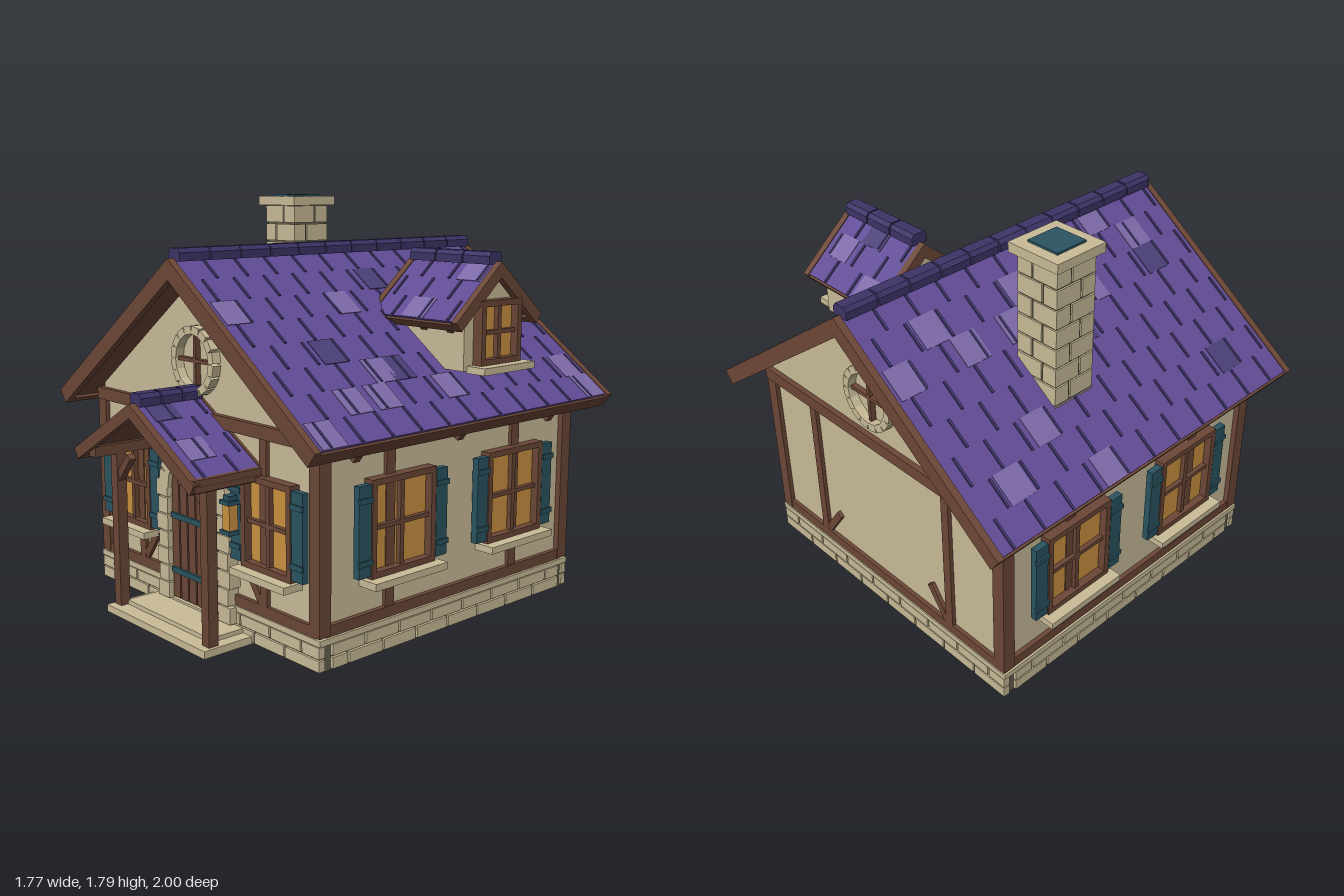
import * as THREE from 'three';
import { mergeGeometries } from 'three/addons/utils/BufferGeometryUtils.js';

const paint = (name, color) => {
  const m = new THREE.MeshStandardMaterial({ color });
  m.name = name;
  return m;
};
const M = {
  cream: paint('cream stone and plaster', 0xc9bc98),
  mortar: paint('mortar', 0x665e4d),
  wood: paint('timber', 0x6c4737),
  darkWood: paint('dark timber', 0x4a3027),
  amber: paint('amber glass', 0xcb9140),
  teal: paint('teal', 0x2a5461),
  slate: paint('purple slate', 0x614b95),
  light: paint('light slate', 0x7d6aa8),
  dark: paint('dark slate', 0x4b3f77),
  ridge: paint('ridge slate', 0x3d3468),
};

function add(parent, name, geometry, mat) {
  const mesh = new THREE.Mesh(geometry, mat);
  mesh.name = name;
  parent.add(mesh);
  return mesh;
}
function group(parent, name, x = 0, y = 0, z = 0, ry = 0) {
  const g = new THREE.Group();
  g.name = name;
  g.position.set(x, y, z);
  g.rotation.y = ry;
  parent.add(g);
  return g;
}
// One mesh from many boxes, each [width, height, depth, x, y, z, turn about z]
function boxes(parent, name, mat, list) {
  if (!list.length) return null;
  return add(parent, name, mergeGeometries(list.map(([w, h, d, x, y, z, rz = 0]) =>
    new THREE.BoxGeometry(w, h, d).rotateZ(rz).translate(x, y, z))), mat);
}
// Outline in x,y pushed from z0 to z1
function prism(points, z0, z1) {
  const shape = new THREE.Shape(points.map(p => new THREE.Vector2(...p)));
  return new THREE.ExtrudeGeometry(shape, { depth: z1 - z0, bevelEnabled: false }).translate(0, 0, z0);
}
const gable = (half, bottom, eave, apex) =>
  [[-half, bottom], [half, bottom], [half, eave], [0, apex], [-half, eave]];

// Pitched roof with its ridge along z; patches are [side, row, z, material]
function roof(parent, name, o) {
  const g = group(parent, name, o.x ?? 0, o.apex, o.z, o.turn ?? 0);
  const L = Math.hypot(o.half, o.rise), angle = Math.atan2(o.rise, o.half);
  const len = o.length, row = (L - 0.01) / o.rows, tile = 0.157, t = o.thick;
  for (const s of [1, -1]) {
    const side = group(g, 'roofSlope');
    side.rotation.set(0, s > 0 ? 0 : Math.PI, -angle);
    boxes(side, 'roofDeck', M.wood, [
      [L - 0.02, t - 0.035, len - 0.02, L / 2, -0.022 - (t - 0.035) / 2, 0],
      [0.035, t - 0.014, len - 0.01, L - 0.0175, -0.014 - (t - 0.014) / 2, 0]]);
    boxes(side, 'bargeBoards', M.wood, [1, -1].map(e => [L, t, 0.032, L / 2, -t / 2, e * (len / 2 - 0.016)]));
    boxes(side, 'slates', M.slate, [[L - 0.01, 0.02, len - 0.06, (L - 0.01) / 2, -0.014, 0]]);
    const joints = [];
    for (let r = 0; r < o.rows; r++) {
      const start = -len / 2 + 0.06 + (r % 2 ? tile / 2 : 0);
      for (let z = start; z < len / 2 - 0.04; z += tile) {
        joints.push([row * 0.94, 0.01, 0.011, (r + 0.5) * row, -0.003, z]);
      }
    }
    boxes(side, 'slateJoints', M.ridge, joints);
    for (const shade of [M.light, M.dark]) {
      boxes(side, 'oddSlates', shade, o.patches.filter(p => p[0] === s && p[3] === shade)
        .map(([, r, z]) => [row, 0.006, 0.125, (r + 0.5) * row, -0.004, s * z]));
    }
    boxes(side, 'rafterTails', M.wood, o.tails.map(z => [0.035, 0.085, 0.035, L - 0.05, -t - 0.035, s * z]));
  }
  const n = o.caps, pitch = (len - 0.06) / n;
  const outline = [[-0.04, -0.012], [0.04, -0.012], [0.04, 0.022], [0.026, 0.04], [-0.026, 0.04], [-0.04, 0.022]];
  for (let i = 0; i < n; i++) {
    const z = -len / 2 + 0.03 + i * pitch;
    add(g, 'ridgeCap', prism(outline, z + 0.004, z + pitch - 0.004), M.ridge);
  }
  return g;
}

// Window facing +z with its centre at the origin on the wall
function windowUnit(parent, name, w, h, sill, shutters) {
  const g = parent, b = 0.026;
  boxes(g, name + 'Pane', M.amber, [[w - b, h - b, 0.016, 0, 0, 0.004]]);
  boxes(g, name + 'Frame', M.wood, [
    ...[1, -1].map(s => [b, h, 0.05, s * (w - b) / 2, 0, 0.022]),
    ...[1, -1].map(s => [w, b, 0.05, 0, s * (h - b) / 2, 0.022]),
    [0.022, h - b, 0.03, 0, 0, 0.018], [w - b, 0.018, 0.03, 0, 0, 0.018]]);
  boxes(g, name + 'Sill', M.cream, [[sill, 0.03, 0.1, 0, -h / 2 - 0.014, 0.045]]);
  if (!shutters) return;
  for (const s of [1, -1]) {
    const x = s * (w / 2 + 0.037);
    boxes(g, 'shutter', M.teal, [
      [0.066, h - 0.03, 0.03, x, 0, 0.03],
      ...[1, -1].map(e => [0.074, 0.022, 0.012, x, e * (h / 2 - 0.075), 0.047])]);
  }
}

export function createModel() {
  const house = new THREE.Group();
  house.name = 'cottage';
  const front = 0.65, back = -0.845, mid = -0.0975;

  // Foundation with two courses of stone
  boxes(house, 'foundationCore', M.mortar, [[1.51, 0.125, 1.52, 0, 0.0625, mid]]);
  const stones = [], course = (r, from, to, put) => {
    const edges = [from];
    for (let e = from + (r ? 0.1 : 0.19); e < to - 0.06; e += 0.19) edges.push(e);
    edges.push(to);
    for (let i = 1; i < edges.length; i++) put((edges[i] + edges[i - 1]) / 2, edges[i] - edges[i - 1] - 0.01);
  };
  for (let r = 0; r < 2; r++) {
    const y = 0.032 + r * 0.053;
    for (const s of [1, -1]) {
      course(r, -0.77, 0.77, (c, w) => stones.push([w, 0.046, 0.03, c, y, mid + s * 0.755]));
      course(r, -0.81, 0.61, (c, w) => stones.push([0.03, 0.046, w, s * 0.755, y, c]));
    }
  }
  boxes(house, 'foundationStones', M.cream, stones);
  boxes(house, 'foundationLedge', M.cream, [[1.54, 0.025, 1.54, 0, 0.124, mid]]);

  // Plaster walls and timber frame
  add(house, 'walls', prism(gable(0.74, 0.13, 0.95, 1.49), back, front), M.cream);
  const frame = [];
  for (const s of [1, -1]) {
    const z = s > 0 ? front : back;
    for (const e of [1, -1]) {
      frame.push([0.06, 0.775, 0.06, e * 0.735, 0.53, mid + s * 0.738]);
      frame.push([0.042, 0.7, 0.036, e * 0.43, 0.52, z]);
      frame.push([0.2, 0.034, 0.034, e * 0.37, 0.245, z, -e * 0.95]);
    }
    frame.push([1.48, 0.045, 0.036, 0, 0.16, z], [1.53, 0.055, 0.05, 0, 0.892, z]);
    for (const z2 of [0.285, -0.48]) frame.push([0.04, 0.74, 0.05, s * 0.736, 0.53, z2]);
    frame.push([0.05, 0.045, 1.46, s * 0.736, 0.16, mid]);
  }
  boxes(house, 'timberFrame', M.wood, frame);

  // Windows
  for (const s of [1, -1]) {
    windowUnit(group(house, 'frontWindow', s * 0.475, 0.525, front), 'front', 0.305, 0.385, 0.34, true);
    for (const z of [0.235, -0.455]) {
      windowUnit(group(house, 'sideWindow', s * 0.74, 0.525, z, s * Math.PI / 2), 'side', 0.36, 0.4, 0.41, true);
    }
    // Round gable window
    const round = group(house, 'roundWindow', 0, 1.125, s > 0 ? front : back, s > 0 ? 0 : Math.PI);
    const ring = [];
    for (let i = 0; i < 16; i++) {
      const a = (i + 0.5) * Math.PI / 8;
      ring.push([0.034, 0.047, 0.05, 0.128 * Math.cos(a), 0.128 * Math.sin(a), 0.015, a]);
    }
    boxes(round, 'roundWindowStones', M.cream, ring);
    boxes(round, 'roundWindowBars', M.wood, [[0.23, 0.016, 0.03, 0, 0, 0.01], [0.016, 0.23, 0.03, 0, 0, 0.01]]);
  }

  // Main roof
  const { light: l, dark: d } = M;
  roof(house, 'mainRoof', {
    half: 0.885, rise: 0.645, apex: 1.55, z: -0.1, length: 1.8, thick: 0.07, rows: 8, caps: 11, tails: [0.59, 0, -0.59],
    patches: [
      [1, 2, 0.79, l], [1, 2, 0.2, l], [1, 5, 0.3, l], [1, 4, 0.48, d], [1, 6, 0.55, l], [1, 6, 0.39, l],
      [1, 7, 0.79, l], [1, 7, -0.8, l], [1, 6, -0.78, l], [1, 6, 0, l], [1, 1, -0.08, d], [1, 5, 0.2, d],
      [-1, 2, -0.79, l], [-1, 6, -0.65, l], [-1, 1, -0.57, l], [-1, 2, -0.46, l], [-1, 5, -0.4, l],
      [-1, 7, -0.24, l], [-1, 2, -0.22, l], [-1, 1, -0.1, l], [-1, 2, 0.23, l], [-1, 0, 0.46, l],
      [-1, 1, 0.62, l], [-1, 2, 0.62, d], [-1, 6, 0.62, d], [-1, 3, 0.05, d]],
  });

  // Chimney
  boxes(house, 'chimneyCore', M.mortar, [[0.195, 0.76, 0.195, -0.47, 1.37, -0.29]]);
  const bricks = [];
  for (let r = 0; r < 8; r++) {
    const split = r % 2 ? 0.025 : -0.03;
    for (const a of [1, -1]) for (const b of [1, -1]) {
      const w = 0.1 - a * split, e = 0.1 + b * split;
      bricks.push([w, 0.079, e, -0.47 + a * 0.105 - a * w / 2, 1.09 + r * 0.087, -0.29 + b * 0.105 - b * e / 2]);
    }
  }
  boxes(house, 'chimneyStones', M.cream, bricks);
  boxes(house, 'chimneyCap', M.cream, [[0.26, 0.042, 0.26, -0.47, 1.762, -0.29]]);
  boxes(house, 'chimneyFlue', M.teal, [[0.155, 0.02, 0.155, -0.47, 1.782, -0.29]]);

  // Dormer facing +x
  const dormer = group(house, 'dormer', 0, 0, -0.333, Math.PI / 2);
  add(dormer, 'dormerWalls', prism(gable(0.185, 1.08, 1.32, 1.47), 0.36, 0.74), M.cream);
  windowUnit(group(dormer, 'dormerWindow', 0, 1.235, 0.74), 'dormer', 0.255, 0.27, 0.325, false);
  roof(dormer, 'dormerRoof', {
    half: 0.275, rise: 0.235, apex: 1.525, z: 0.517, length: 0.52, thick: 0.05, rows: 3, caps: 3, tails: [0, 0.15],
    patches: [[-1, 2, 0, l], [-1, 0, 0.15, l], [1, 2, -0.13, l], [1, 1, 0.14, l], [1, 0, 0, d]],
  });

  // Door in an arched stone surround
  const door = group(house, 'door', 0, 0, front);
  const arch = new THREE.Shape();
  arch.moveTo(-0.18, 0.04).lineTo(0.18, 0.04).lineTo(0.18, 0.56);
  arch.absarc(0, 0.56, 0.18, 0, Math.PI, false);
  add(door, 'doorBacking', new THREE.ExtrudeGeometry(arch, { depth: 0.02, bevelEnabled: false }), M.darkWood);
  const planks = [];
  for (let i = 0; i < 6; i++) {
    const x = (i - 2.5) * 0.058, top = 0.555 + Math.sqrt(0.17 ** 2 - x * x);
    planks.push([0.049, top - 0.07, 0.03, x, (top + 0.07) / 2, 0.02]);
  }
  boxes(door, 'doorPlanks', M.wood, planks);
  boxes(door, 'doorIronwork', M.teal, [
    [0.32, 0.024, 0.012, -0.004, 0.44, 0.04], [0.32, 0.024, 0.012, -0.004, 0.195, 0.04],
    [0.022, 0.055, 0.02, 0.1, 0.36, 0.042], [0.034, 0.014, 0.03, 0.1, 0.35, 0.052]]);
  const surround = [[0.36, 0.025, 0.04, 0, 0.05, 0.02]];
  for (const s of [1, -1]) for (let i = 0; i < 7; i++) {
    const w = i % 2 ? 0.068 : 0.08;
    surround.push([w, 0.07, 0.055, s * (0.176 + w / 2), 0.096 + i * 0.076, 0.0275]);
  }
  for (let i = 0; i < 9; i++) {
    const a = (i + 0.5) * Math.PI / 9;
    surround.push([0.068, 0.068, 0.055, 0.202 * Math.cos(a), 0.56 + 0.202 * Math.sin(a), 0.0275, a]);
  }
  boxes(door, 'doorStones', M.cream, surround);

  // Wall lantern
  const lantern = group(house, 'lantern', 0.28, 0.53, 0.715);
  boxes(lantern, 'lanternGlass', M.amber, [[0.045, 0.11, 0.045, 0, 0, 0]]);
  boxes(lantern, 'lanternCaps', M.teal, [
    [0.062, 0.018, 0.062, 0, 0.062, 0], [0.04, 0.02, 0.04, 0, 0.08, 0],
    [0.062, 0.018, 0.062, 0, -0.062, 0], [0.02, 0.02, 0.07, 0, 0.075, -0.035]]);

  // Porch
  boxes(house, 'porchSteps', M.cream, [[0.71, 0.032, 0.26, 0, 0.018, 0.78], [0.6, 0.022, 0.19, 0, 0.042, 0.745]]);
  const porch = [];
  for (const s of [1, -1]) {
    porch.push([0.047, 0.69, 0.047, s * 0.319, 0.38, 0.853]);
    porch.push([0.05, 0.045, 0.33, s * 0.319, 0.735, 0.815]);
    porch.push([0.045, 0.05, 0.34, s * 0.4, 0.725, 0.82]);
    porch.push([0.15, 0.032, 0.032, s * 0.265, 0.655, 0.853, -s * 0.87]);
  }
  boxes(house, 'porchTimbers', M.wood, porch);
  roof(house, 'porchRoof', {
    half: 0.43, rise: 0.25, apex: 0.985, z: 0.815, length: 0.37, thick: 0.05, rows: 4, caps: 3, tails: [],
    patches: [[1, 0, 0.06, d], [1, 2, 0.05, l], [-1, 1, 0.05, l], [-1, 0, 0.1, d]],
  });
  return house;
}
